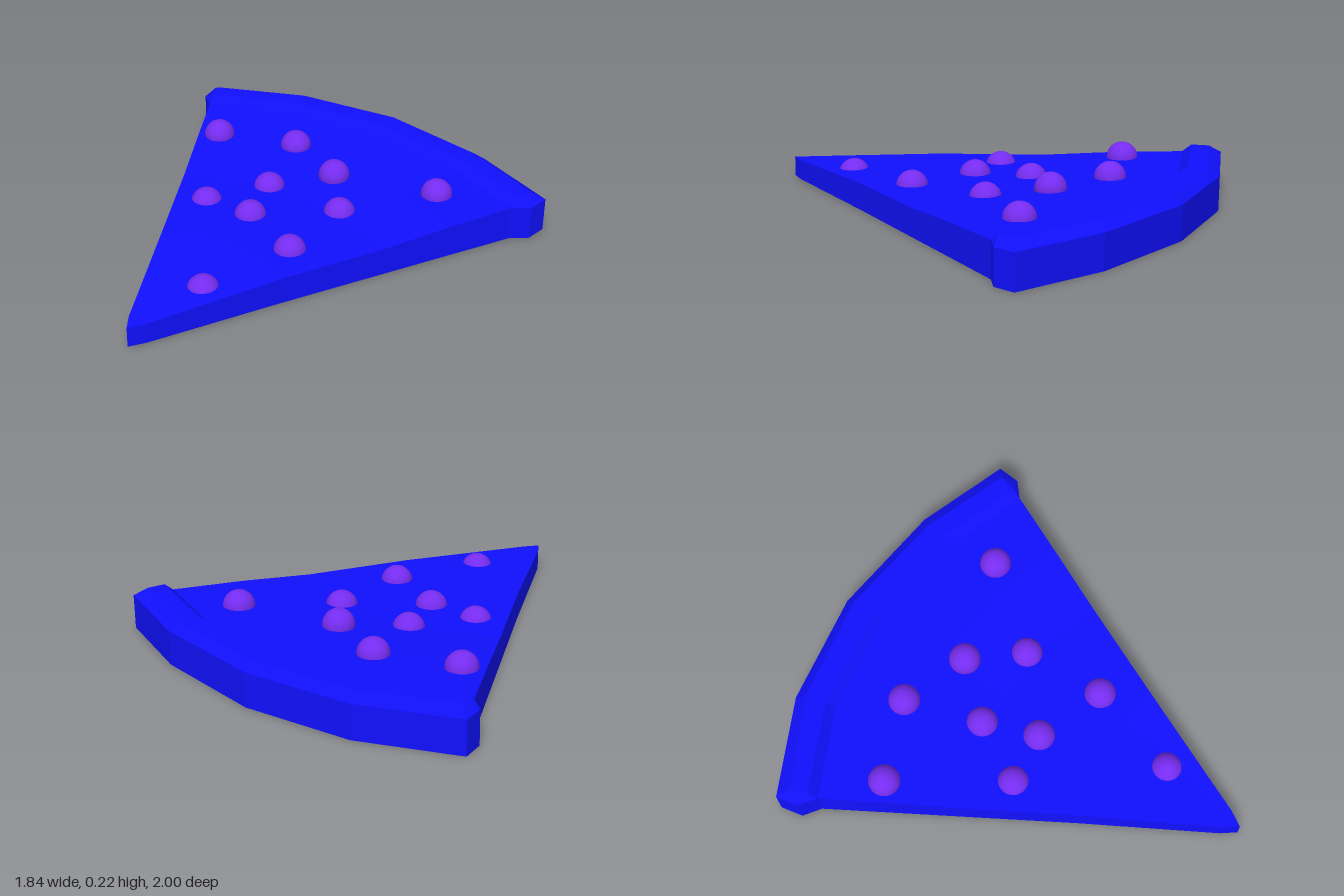
import * as THREE from 'three';

const blue = new THREE.MeshStandardMaterial({ color: 0x1010ff, flatShading: true });
const purple = new THREE.MeshStandardMaterial({ color: 0x762cf0 });

// Skin a row of closed rings (equal point counts) with flat triangles.
function loft(rings) {
  const positions = [];
  const addTriangle = (a, b, c) => {
    const area = new THREE.Triangle(a, b, c).getArea();
    if (area > 1e-7) positions.push(...a.toArray(), ...b.toArray(), ...c.toArray());
  };
  for (let i = 0; i < rings.length - 1; i++) {
    const n = rings[i].length;
    for (let j = 0; j < n; j++) {
      const k = (j + 1) % n;
      const [a, b, c, d] = [rings[i][j], rings[i][k], rings[i + 1][k], rings[i + 1][j]];
      addTriangle(a, b, c);
      addTriangle(a, c, d);
    }
  }
  const geometry = new THREE.BufferGeometry();
  geometry.setAttribute('position', new THREE.Float32BufferAttribute(positions, 3));
  geometry.computeVertexNormals();
  return geometry;
}

function addMesh(parent, name, geometry, material) {
  const mesh = new THREE.Mesh(geometry, material);
  mesh.name = name;
  parent.add(mesh);
  return mesh;
}

const RIM = 0.155;   // height of the crust wall and the slice's rear edge
const CREST = 0.19;  // height of the crust's flat top

// Crust stations, left to right in x: outer edge, crest back, crest front, inner foot as [x, z]
const stations = [
  [[-0.92, -0.76], [-0.87, -0.72], [-0.845, -0.645], [-0.835, -0.605]],
  [[-0.5, -0.94], [-0.475, -0.895], [-0.46, -0.805], [-0.455, -0.765]],
  [[0, -1], [0, -0.96], [0, -0.86], [0, -0.815]],
  [[0.52, -0.92], [0.49, -0.88], [0.475, -0.79], [0.465, -0.75]],
  [[0.92, -0.76], [0.87, -0.72], [0.845, -0.645], [0.835, -0.605]],
];

const at = ([x, z], y) => new THREE.Vector3(x, y, z);

function crustGeometry() {
  const rings = stations.map(([outer, back, front, foot]) => [
    at(outer, 0), at(outer, RIM), at(back, CREST), at(front, CREST), at(foot, RIM), at(foot, 0),
  ]);
  // Each end closes onto one vertical corner edge
  const corner = (x) => [0, RIM, RIM, RIM, RIM, 0].map((y) => at([x, -0.66], y));
  return loft([corner(-0.905), ...rings, corner(0.905)]);
}

function sliceGeometry() {
  // Rows from the tip to the crust: [fraction, height, widening]
  const rows = [
    [0, 0.09, 1], [0.04, 0.092, 1.3], [0.38, 0.12, 1], [0.65, 0.125, 1],
    [0.82, 0.144, 1], [1, RIM, 1],
  ];
  const feet = stations.map((s) => s[3]);
  return loft(rows.map(([t, y, widen]) => {
    const line = feet.map(([x, z]) => [x * t * widen, 1 + (z - 1) * t]);
    return [...line.map((p) => at(p, y)), ...line.reverse().map((p) => at(p, 0))];
  }));
}

export function createModel() {
  const model = new THREE.Group();
  model.name = 'pizzaSlice';

  addMesh(model, 'slice', sliceGeometry(), blue);
  addMesh(model, 'crust', crustGeometry(), blue);

  // Round toppings, half sunk into the slice: [x, y, z]
  const toppings = new THREE.Group();
  toppings.name = 'toppings';
  model.add(toppings);
  const ball = new THREE.SphereGeometry(0.07, 32, 20);
  [
    [-0.62, 0.147, -0.405], [-0.265, 0.147, -0.53], [0.035, 0.147, -0.405], [0.5, 0.147, -0.53],
    [-0.17, 0.112, -0.19], [0.21, 0.112, -0.19], [-0.33, 0.1, 0.065], [-0.095, 0.112, 0.055],
    [0.21, 0.112, 0.185], [0.07, 0.08, 0.6],
  ].forEach((p, i) => addMesh(toppings, `topping${i + 1}`, ball, purple).position.set(...p));

  return model;
}
